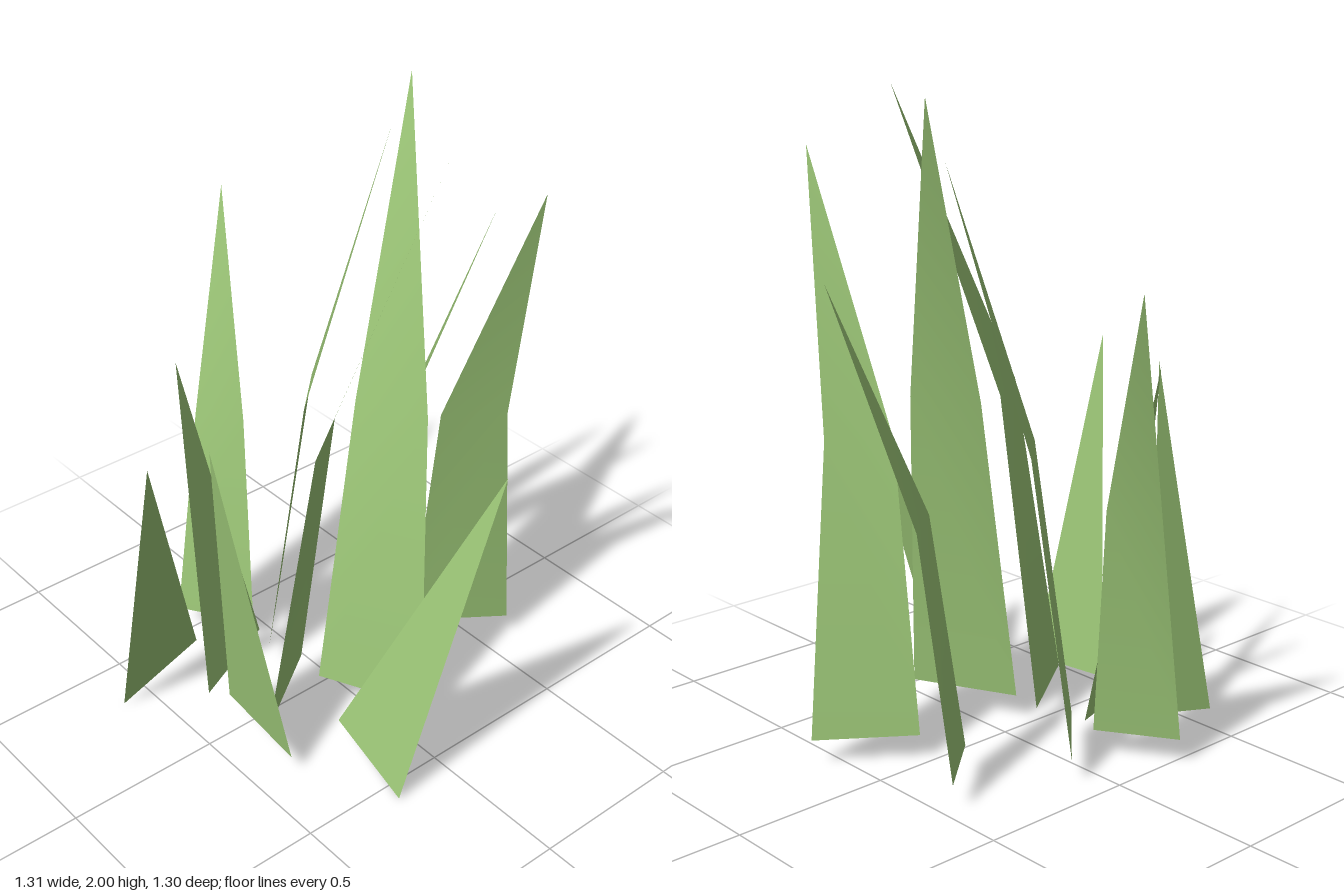
import * as THREE from 'three';

const grass = new THREE.MeshStandardMaterial({ color: 0x9cc677, side: THREE.DoubleSide });
grass.name = 'grass green';

// A flat blade from its outline points; indices list the faces
function makeBlade(name, points, faces) {
  const geometry = new THREE.BufferGeometry();
  geometry.setAttribute('position', new THREE.Float32BufferAttribute(points.flat(), 3));
  geometry.setIndex(faces);
  geometry.computeVertexNormals();
  const mesh = new THREE.Mesh(geometry, grass);
  mesh.name = name;
  return mesh;
}

// Bent blade: base and middle corners as [x, z], tip as [x, y, z]
const GROUND = 0.085;
function tallBlade(base, middle, tip) {
  const bend = GROUND + (tip[1] - GROUND) * 0.515;
  const points = [
    ...base.map(([x, z]) => [x, GROUND, z]),
    ...middle.map(([x, z]) => [x, bend, z]),
    tip,
  ];
  return makeBlade('tallBlade', points, [0, 1, 3, 0, 3, 2, 2, 3, 4]);
}

export function createModel() {
  const group = new THREE.Group();
  group.name = 'grassTuft';

  // Tall blades that bend halfway up
  const tall = [
    [[[-0.07, 0.07], [0.135, 0.365]], [[0.07, 0.045], [0.21, 0.235]], [0.365, 2, -0.125]],
    [[[0.045, 0.09], [0.365, -0.065]], [[0.04, -0.06], [0.25, -0.16]], [-0.08, 2, -0.365]],
    [[[0.025, -0.325], [0.215, -0.59]], [[0.16, -0.3], [0.28, -0.465]], [0.485, 1.825, -0.35]],
    [[[-0.405, -0.105], [-0.17, 0.125]], [[-0.275, -0.15], [-0.13, 0]], [-0.127, 1.825, -0.335]],
    [[[-0.298, -0.473], [-0.12, -0.27]], [[-0.19, -0.505], [-0.08, -0.367]], [0.01, 1.51, -0.65]],
    [[[-0.528, 0.23], [-0.302, 0.088]], [[-0.54, 0.115], [-0.4, 0.03]], [-0.658, 1.51, -0.105]],
  ];
  for (const [base, middle, tip] of tall) group.add(tallBlade(base, middle, tip));

  // Short straight blades
  const short = [
    [[0.25, 0.09, 0.18], [0.562, 0.003, 0.203], [0.655, 1.105, -0.087]],
    [[-0.348, 0.09, 0.29], [-0.323, 0.008, 0.602], [-0.022, 1.1, 0.65]],
    [[-0.253, 0.095, 0.1], [-0.13, 0.07, 0.402], [-0.328, 1.185, 0.327]],
    [[-0.055, 0.1, 0.375], [0.27, 0.07, 0.385], [0.12, 1.185, 0.537]],
  ];
  for (const points of short) group.add(makeBlade('shortBlade', points, [0, 1, 2]));

  return group;
}
